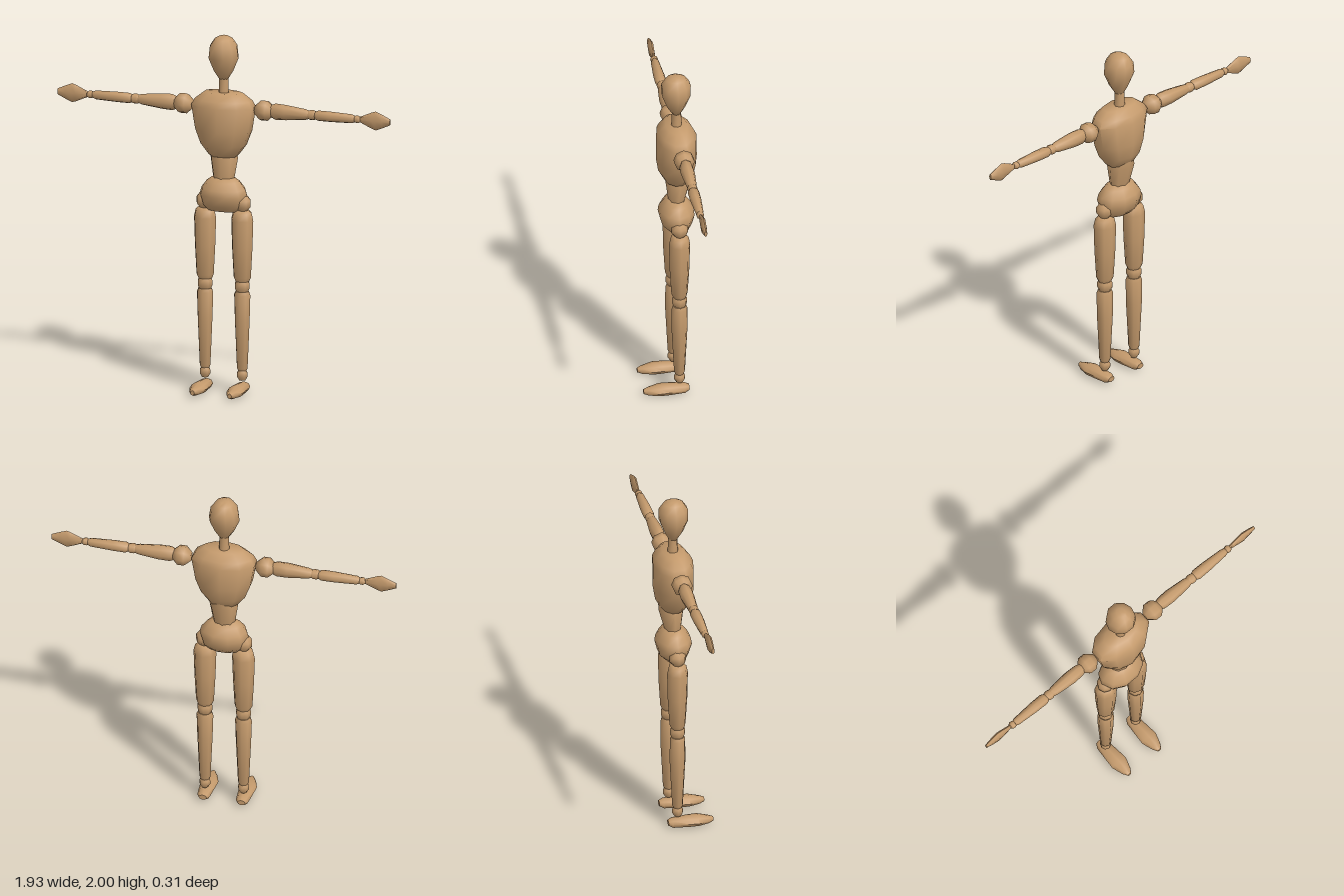
import * as THREE from 'three';
import { toCreasedNormals } from 'three/addons/utils/BufferGeometryUtils.js';

const wood = new THREE.MeshStandardMaterial({ color: 0xc49a6c });
wood.name = 'wood';

// Closed loft along y; each ring is [height, radiusX, radiusZ, centreZ]
function loft(rings, sides = 8, turn = 0) {
  const pos = [], index = [];
  for (const [y, rx, rz, cz = 0] of rings) {
    for (let i = 0; i < sides; i++) {
      const a = ((i + turn) / sides) * Math.PI * 2;
      pos.push(Math.cos(a) * rx, y, cz + Math.sin(a) * rz);
    }
  }
  const last = rings.length - 1, bottom = rings.length * sides, top = bottom + 1;
  pos.push(0, rings[0][0], rings[0][3] || 0, 0, rings[last][0], rings[last][3] || 0);
  for (let i = 0; i < sides; i++) {
    const j = (i + 1) % sides;
    for (let r = 0; r < last; r++) {
      const a = r * sides + i, b = r * sides + j;
      index.push(a, a + sides, b, b, a + sides, b + sides);
    }
    index.push(bottom, i, j, top, last * sides + j, last * sides + i);
  }
  const geo = new THREE.BufferGeometry();
  geo.setAttribute('position', new THREE.Float32BufferAttribute(pos, 3));
  geo.setIndex(index);
  return toCreasedNormals(geo, 1.05);
}

// Ball joint as a loft with blunt ends
const joint = (half, r, end) => [[-half, end, end], [-half * 0.35, r, r], [half * 0.35, r, r], [half, end, end]];

export function createModel() {
  const model = new THREE.Group();
  model.name = 'mannequin';
  const add = (name, geo, x = 0, y = 0, z = 0, parent = model) => {
    const mesh = new THREE.Mesh(geo, wood);
    mesh.name = name;
    mesh.position.set(x, y, z);
    parent.add(mesh);
  };

  // Trunk and head
  add('head', loft([
    [1.755, 0.022, 0.02, -0.042], [1.81, 0.057, 0.052, -0.04], [1.88, 0.086, 0.08, -0.04],
    [1.945, 0.077, 0.082, -0.04], [1.985, 0.05, 0.056, -0.04], [2, 0.025, 0.028, -0.04]], 10));
  add('neck', loft([[1.66, 0.03, 0.03, -0.043], [1.78, 0.026, 0.025, -0.043]]));
  add('chest', loft([
    [1.315, 0.06, 0.035, -0.045], [1.335, 0.085, 0.068, -0.043], [1.395, 0.13, 0.1, -0.042],
    [1.475, 0.161, 0.113, -0.042], [1.61, 0.185, 0.112, -0.042], [1.645, 0.165, 0.095, -0.042],
    [1.685, 0.112, 0.06, -0.042]], 10, 0.5));
  add('waist', loft([
    [1.195, 0.06, 0.045, -0.043], [1.32, 0.08, 0.07, -0.052], [1.37, 0.06, 0.065, -0.06]]));
  add('pelvis', loft([
    [1.023, 0.095, 0.055, -0.042], [1.055, 0.122, 0.085, -0.042], [1.11, 0.138, 0.1, -0.041],
    [1.145, 0.127, 0.095, -0.041], [1.185, 0.097, 0.066, -0.041], [1.207, 0.066, 0.042, -0.041]], 10));

  for (const [side, s] of [['left', 1], ['right', -1]]) {
    // Leg, hung from the hip
    const leg = new THREE.Group();
    leg.name = side + 'Leg';
    leg.position.set(s * 0.108, 0, -0.042);
    model.add(leg);
    add('hipJoint', loft(joint(0.047, 0.046, 0.022)), s * 0.003, 1.07, 0, leg);
    add('thigh', loft([
      [0.632, 0.04, 0.036], [0.655, 0.05, 0.045], [0.82, 0.059, 0.055],
      [0.975, 0.064, 0.058], [1.015, 0.055, 0.05], [1.03, 0.038, 0.036]]), 0, 0, 0, leg);
    add('kneeJoint', loft(joint(0.038, 0.042, 0.03)), 0, 0.605, 0, leg);
    add('shin', loft([
      [0.13, 0.025, 0.024], [0.145, 0.031, 0.03], [0.42, 0.043, 0.044],
      [0.555, 0.047, 0.043], [0.575, 0.038, 0.037]]), 0, 0, 0, leg);
    add('ankleJoint', loft(joint(0.031, 0.03, 0.018)), 0, 0.106, 0, leg);

    // Foot, pointing forward with a narrow toe
    const foot = loft([
      [-0.095, 0.022, 0.015, -0.002], [-0.07, 0.036, 0.027], [0.02, 0.044, 0.031],
      [0.07, 0.048, 0.03], [0.13, 0.028, 0.022, 0.004], [0.157, 0.012, 0.014, 0.004]]);
    add('foot', foot.rotateX(Math.PI / 2), 0, 0.034, 0.042, leg);

    // Arm, stretched out sideways
    const arm = new THREE.Group();
    arm.name = side + 'Arm';
    arm.position.set(0, 1.6, -0.047);
    arm.rotation.z = -s * Math.PI / 2;
    model.add(arm);
    add('shoulderJoint', loft(joint(0.053, 0.056, 0.025)), 0, 0.235, 0, arm);
    add('upperArm', loft([
      [0.265, 0.03, 0.025], [0.3, 0.046, 0.036], [0.36, 0.043, 0.039],
      [0.475, 0.03, 0.029], [0.5, 0.022, 0.022]]), 0, 0, 0, arm);
    add('elbowJoint', loft(joint(0.028, 0.028, 0.019)), 0, 0.513, 0, arm);
    add('forearm', loft([
      [0.533, 0.022, 0.024], [0.55, 0.029, 0.032], [0.62, 0.029, 0.031],
      [0.745, 0.025, 0.023], [0.762, 0.018, 0.017]]), 0, 0, 0, arm);
    add('wristJoint', loft(joint(0.02, 0.021, 0.012)), 0, 0.775, 0, arm);
    add('hand', loft([
      [0.788, 0.014, 0.01], [0.86, 0.046, 0.015], [0.882, 0.053, 0.016],
      [0.92, 0.038, 0.014], [0.966, 0.017, 0.008]]), 0, 0, 0, arm);
  }
  return model;
}
